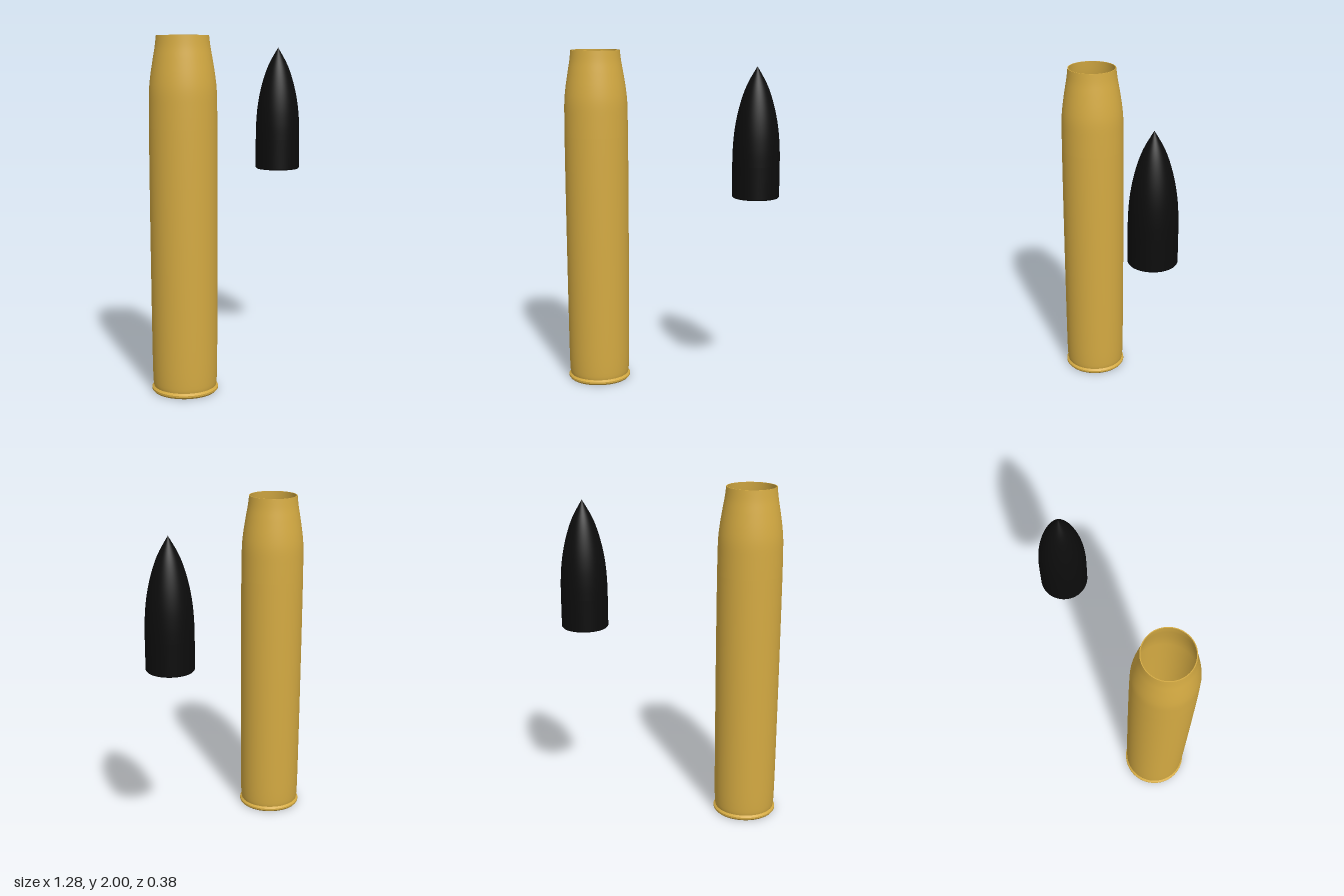
import * as THREE from 'three';

const SEGMENTS = 64;

// Lathe one smooth stretch of [radius, y] points; separate stretches meet in a sharp edge
function turn(points, smooth = 0) {
  let profile = points.map(([r, y]) => new THREE.Vector2(r, y));
  if (smooth) profile = new THREE.SplineCurve(profile).getPoints(smooth);
  profile.forEach((p) => { p.x = Math.max(p.x, 0); });
  return new THREE.LatheGeometry(profile, SEGMENTS);
}

function addPart(parent, name, material, points, smooth) {
  const mesh = new THREE.Mesh(turn(points, smooth), material);
  mesh.name = name;
  parent.add(mesh);
}

export function createModel() {
  const model = new THREE.Group();
  const brass = new THREE.MeshStandardMaterial({ color: 0xd4aa42 });
  const black = new THREE.MeshStandardMaterial({ color: 0x0c0c0c });

  // Hollow casing: base, rim, body with tapered shoulder, mouth and inside
  const casing = new THREE.Group();
  casing.name = 'casing';
  casing.position.x = -0.454;
  const shoulder = [[0.187, 1.6], [0.185, 1.7], [0.177, 1.78], [0.163, 1.87], [0.151, 1.94], [0.144, 2]];
  addPart(casing, 'casingBase', brass, [[0, 0], [0.18, 0]]);
  addPart(casing, 'rimLowerBevel', brass, [[0.18, 0], [0.188, 0.01]]);
  addPart(casing, 'rimEdge', brass, [[0.188, 0.01], [0.188, 0.02]]);
  addPart(casing, 'rimTop', brass, [[0.188, 0.02], [0.177, 0.03]]);
  addPart(casing, 'casingBody', brass,
    [[0.177, 0.03], [0.181, 0.07], [0.184, 0.24], [0.187, 0.8], [0.188, 1.2], [0.188, 1.5]], 24);
  addPart(casing, 'casingShoulder', brass, [[0.188, 1.5], ...shoulder], 24);
  addPart(casing, 'mouthEdge', brass, [[0.144, 2], [0.139, 2]]);
  const inside = shoulder.map(([r, y]) => [r - 0.005, y]).reverse();
  addPart(casing, 'casingInside', brass, [...inside, [0.183, 1.2], [0.176, 0.04]], 30);
  addPart(casing, 'casingFloor', brass, [[0.176, 0.04], [0, 0.04]]);
  model.add(casing);

  // Pointed projectile beside the casing
  const projectile = new THREE.Group();
  projectile.name = 'projectile';
  projectile.position.x = 0.505;
  addPart(projectile, 'projectileBase', black, [[0, 1.17], [0.131, 1.17]]);
  addPart(projectile, 'projectileBevel', black, [[0.131, 1.17], [0.136, 1.177]]);
  addPart(projectile, 'projectileSide', black, [[0.136, 1.177], [0.136, 1.36]]);
  addPart(projectile, 'projectileNose', black,
    [[0.136, 1.36], [0.134, 1.45], [0.126, 1.55], [0.109, 1.65], [0.082, 1.75], [0.05, 1.83], [0, 1.918]], 32);
  model.add(projectile);

  return model;
}
